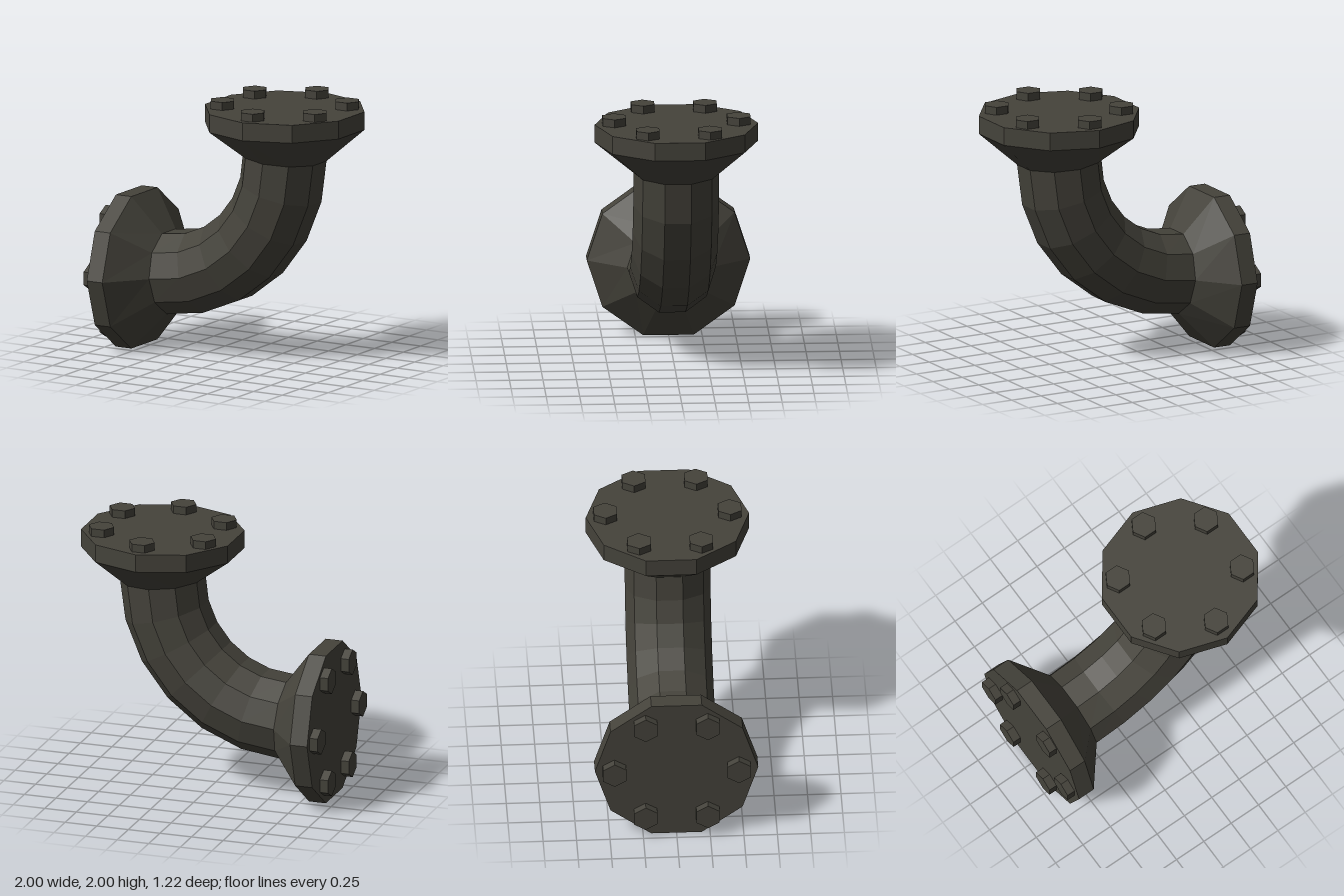
import * as THREE from 'three';

const SIDES = 10;
const iron = new THREE.MeshStandardMaterial({ color: 0x45433b, flatShading: true });
iron.name = 'dark iron';

// Ring of points around (x, y, 0); tilt is the heading of the pipe in degrees (0 = +x, 90 = +y)
function ring(x, y, radius, tilt) {
  const t = THREE.MathUtils.degToRad(tilt);
  return Array.from({ length: SIDES }, (_, j) => {
    const a = (j / SIDES) * Math.PI * 2;
    const v = Math.sin(a) * radius;
    return [x - Math.sin(t) * v, y + Math.cos(t) * v, Math.cos(a) * radius];
  });
}

// Skin a list of rings, optionally closing the first or last one
function loft(name, rings, { capStart = false, capEnd = false } = {}) {
  const index = [];
  for (let i = 0; i < rings.length - 1; i++) {
    for (let j = 0; j < SIDES; j++) {
      const k = (j + 1) % SIDES;
      const a = i * SIDES + j, b = i * SIDES + k;
      index.push(a, a + SIDES, b + SIDES, a, b + SIDES, b);
    }
  }
  const last = (rings.length - 1) * SIDES;
  for (let j = 1; j < SIDES - 1; j++) {
    if (capStart) index.push(0, j, j + 1);
    if (capEnd) index.push(last, last + j + 1, last + j);
  }
  const indexed = new THREE.BufferGeometry();
  indexed.setAttribute('position', new THREE.Float32BufferAttribute(rings.flat(2), 3));
  indexed.setIndex(index);
  const geometry = indexed.toNonIndexed();
  geometry.computeVertexNormals();
  const mesh = new THREE.Mesh(geometry, iron);
  mesh.name = name;
  return mesh;
}

// Circle of six hexagonal bolt heads, standing along local +y
function boltCircle(name) {
  const group = new THREE.Group();
  group.name = name;
  const geometry = new THREE.CylinderGeometry(0.1, 0.1, 0.07, 6);
  geometry.rotateY(Math.PI / 2);
  for (let i = 0; i < 6; i++) {
    const a = (i / 6) * Math.PI * 2;
    const bolt = new THREE.Mesh(geometry, iron);
    bolt.name = 'bolt';
    bolt.position.set(Math.sin(a) * 0.465, 0.025, Math.cos(a) * 0.465);
    group.add(bolt);
  }
  return group;
}

export function createModel() {
  const model = new THREE.Group();
  model.name = 'pipeElbow';

  // Quarter bend, end rings slightly tilted
  const bend = [];
  for (let i = 0; i <= 6; i++) {
    const a = THREE.MathUtils.degToRad(i * 15);
    const tilt = THREE.MathUtils.clamp(i * 15, 3.75, 86.25);
    bend.push(ring(-0.57 + 0.99 * Math.sin(a), 1.57 - 0.99 * Math.cos(a), 0.32, tilt));
  }
  model.add(loft('pipe', bend));

  // Flanges: flat disc, rim and flared neck
  model.add(loft('sideFlange',
    [ring(-0.937, 0.58, 0.61, 0), ring(-0.803, 0.58, 0.61, 0), bend[0]], { capStart: true }));
  model.add(loft('topFlange',
    [bend[6], ring(0.42, 1.803, 0.61, 90), ring(0.42, 1.94, 0.61, 90)], { capEnd: true }));

  // Bolts on both flange faces
  const sideBolts = boltCircle('sideBolts');
  sideBolts.position.set(-0.94, 0.58, 0);
  sideBolts.rotation.z = Math.PI / 2;
  const topBolts = boltCircle('topBolts');
  topBolts.position.set(0.42, 1.94, 0);
  model.add(sideBolts, topBolts);

  return model;
}
